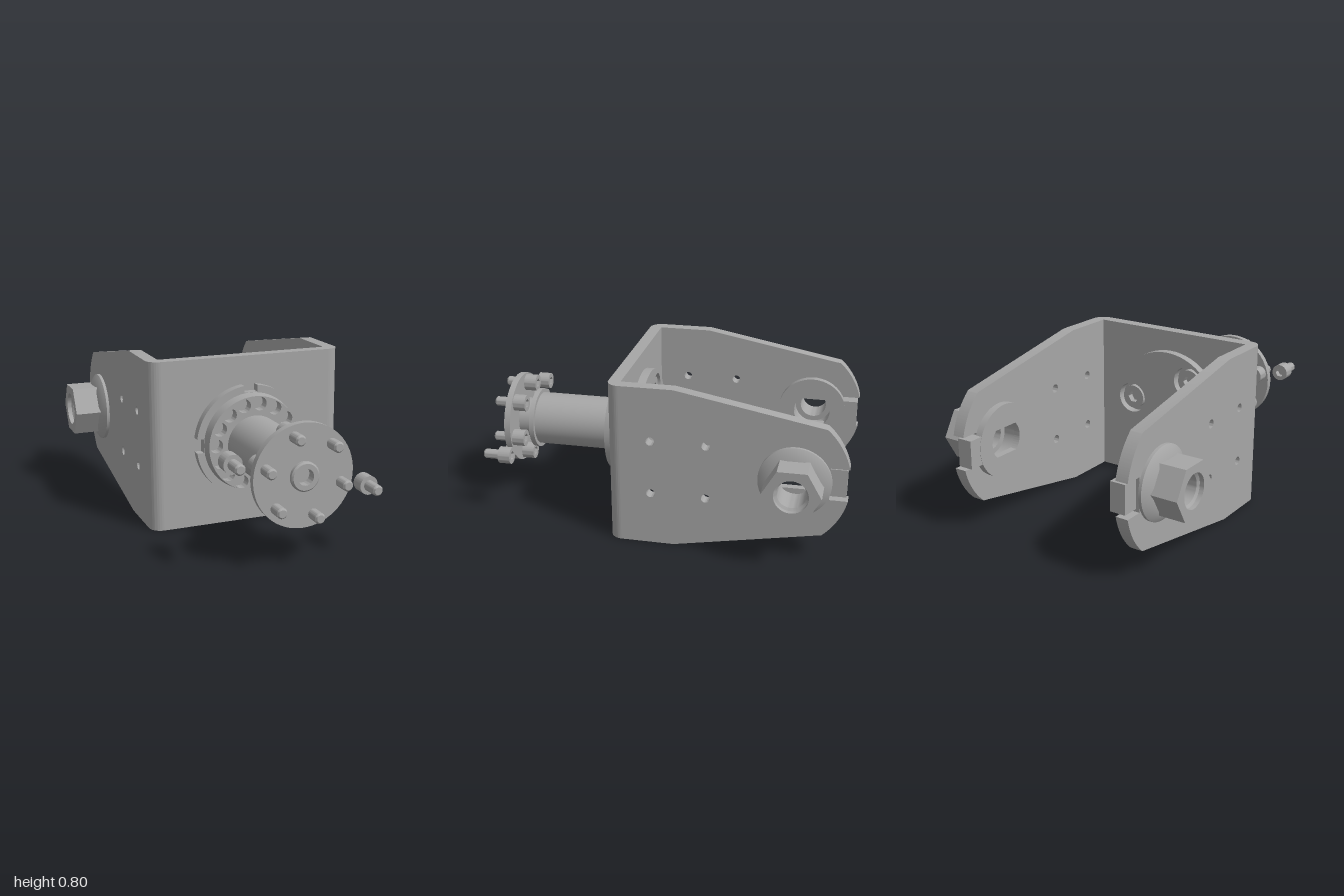
import * as THREE from 'three';
import { toCreasedNormals } from 'three/addons/utils/BufferGeometryUtils.js';

const steel = new THREE.MeshStandardMaterial({ color: 0xa6a6a6 });
steel.name = 'grey steel';

const mesh = (name, geo, parent) => {
  const m = new THREE.Mesh(toCreasedNormals(geo, 0.6), steel);
  m.name = name;
  parent.add(m);
  return m;
};
const group = (name, parent) => {
  const g = new THREE.Group();
  g.name = name;
  parent.add(g);
  return g;
};

const circle = (x, y, r) => new THREE.Path().absarc(x, y, r, 0, Math.PI * 2, false);
const disc = (r) => new THREE.Shape().absarc(0, 0, r, 0, Math.PI * 2, false);
const hexPoints = (r) => Array.from({ length: 6 }, (_, i) =>
  new THREE.Vector2(r * Math.cos(i * Math.PI / 3), r * Math.sin(i * Math.PI / 3)));

// Extrudes a shape from z0 to z1, with holes
function slab(shape, z0, z1, holes = []) {
  shape.holes.push(...holes);
  return new THREE.ExtrudeGeometry(shape, { depth: z1 - z0, bevelEnabled: false, curveSegments: 32 })
    .translate(0, 0, z0);
}
// Revolves a [radius, z] profile around the z axis
const turned = (pts) =>
  new THREE.LatheGeometry(pts.map(([r, z]) => new THREE.Vector2(r, z)), 56).rotateX(Math.PI / 2);
// Turns a geometry built along z so that it runs along x
const alongX = (geo) => geo.rotateY(Math.PI / 2);

const CX = -0.107, CY = 0.4;      // middle of the bracket
const OUT = 0.477, IN = 0.417;    // outer and inner face of an arm
const AXLE = 0.61;                // distance of the nut behind the origin

// Socket head screw pointing to +z, head starting at z0
function screw(name, parent, x, y, z0, z1) {
  const g = group(name, parent);
  g.position.set(x, y, 0);
  mesh('screwHead', slab(disc(0.042), z0, z0 + 0.062, [new THREE.Path(hexPoints(0.023))]), g);
  mesh('screwShank', turned([[0, z0 + 0.03], [0.024, z0 + 0.03], [0.024, z1 - 0.008], [0.017, z1], [0, z1]]), g);
}

// One arm with its nut, washer and locking tab
function arm(parent) {
  const s = new THREE.Shape();
  s.moveTo(-0.22, -0.4);
  s.lineTo(0.04, -0.4);
  s.lineTo(0.747, -0.267);
  const R = 0.361, c = 0.504, a0 = Math.atan2(0.267, 0.243), a1 = Math.asin(0.08 / R);
  s.absarc(c, 0, R, -a0, -a1, false);
  s.lineTo(0.77, -0.08);
  s.lineTo(0.77, 0.08);
  s.absarc(c, 0, R, a1, a0, false);
  s.lineTo(0.04, 0.4);
  s.lineTo(-0.22, 0.4);
  const holes = [circle(AXLE, 0, 0.095)];
  for (const x of [-0.071, 0.194]) for (const y of [-0.135, 0.135]) holes.push(circle(x, y, 0.021));
  mesh('armPlate', alongX(slab(s, IN, OUT, holes)), parent);

  // Washer with a flat-sided hole on the inner face
  const dd = new THREE.Path();
  const f = Math.asin(0.067 / 0.095);
  dd.absarc(0, 0, 0.095, -f, f, false);
  dd.absarc(0, 0, 0.095, Math.PI - f, Math.PI + f, false);
  dd.closePath();
  const hw = group('armHardware', parent);
  hw.position.z = -AXLE;
  mesh('washer', alongX(slab(disc(0.178), IN - 0.035, IN, [dd])), hw);
  mesh('lockingTab', new THREE.BoxGeometry(0.075, 0.136, 0.085).translate(IN + 0.004, 0, -0.195), hw);

  // Flanged hex nut
  mesh('nutFlange', alongX(turned([[0.068, OUT], [0.171, OUT], [0.171, OUT + 0.014], [0.125, OUT + 0.045],
    [0.068, OUT + 0.045], [0.068, OUT]])), hw);
  mesh('hexNut', alongX(slab(new THREE.Shape(hexPoints(0.137)), OUT + 0.02, OUT + 0.165, [circle(0, 0, 0.08)])), hw);
  mesh('nutThread', alongX(turned([[0.068, OUT + 0.03], [0.082, OUT + 0.03], [0.082, OUT + 0.145],
    [0.068, OUT + 0.135], [0.068, OUT + 0.03]])), hw);
}

export function createModel() {
  const root = new THREE.Group();
  root.name = 'forkBracketAssembly';
  const body = group('body', root);
  body.position.set(CX, CY, 0);
  const turn = group('turnedAssembly', root);
  turn.rotation.y = -17 * Math.PI / 180;
  turn.add(body);

  // Base of the fork with rounded corners
  const base = new THREE.Shape();
  base.moveTo(-OUT, -0.22);
  base.absarc(-IN, -0.22, 0.06, Math.PI, Math.PI * 1.5, false);
  base.absarc(IN, -0.22, 0.06, Math.PI * 1.5, Math.PI * 2, false);
  base.closePath();
  mesh('forkBase', slab(base, -0.4, 0.4).rotateX(-Math.PI / 2), body);

  // Two arms, the second turned half round
  for (const side of ['left', 'right']) {
    const g = group(side + 'Arm', body);
    if (side === 'right') g.rotation.z = Math.PI;
    arm(g);
  }

  // Backing plate with three recessed screws
  const spots = [7, 127, 247].map((d) => {
    const a = d * Math.PI / 180;
    return [0.207 * Math.cos(a), 0.207 * Math.sin(a)];
  });
  mesh('backingPlate', slab(disc(0.3), 0.178, 0.22, spots.map(([x, y]) => circle(x, y, 0.078))), body);
  for (const [x, y] of spots) {
    mesh('plateScrew', slab(disc(0.06), 0.188, 0.221, [new THREE.Path(hexPoints(0.03))]), body).position.set(x, y, 0);
  }

  // Notched ring on the front
  const ring = new THREE.Shape();
  const r = 0.268, half = 0.033, d = Math.asin(half / r);
  for (let i = 0; i < 4; i++) {
    const q = i * Math.PI / 2;
    ring.absarc(0, 0, r, q + d, q + Math.PI / 2 - d, false);
    const e = q + Math.PI / 2, c = Math.cos(e), s = Math.sin(e), k = r - 0.034;
    ring.lineTo(c * k + s * half, s * k - c * half);
    ring.lineTo(c * k - s * half, s * k + c * half);
  }
  ring.closePath();
  mesh('notchedRing', slab(ring, 0.279, 0.32), body);

  // Tapered crown with fifteen pockets
  const pockets = [circle(0, 0, 0.13)];
  for (let i = 0; i < 15; i++) {
    const a = (10 + 24 * i) * Math.PI / 180;
    pockets.push(circle(0.19 * Math.cos(a), 0.19 * Math.sin(a), 0.032));
  }
  const crown = slab(disc(0.234), 0.315, 0.368, pockets);
  const p = crown.attributes.position;
  for (let i = 0; i < p.count; i++) {
    const x = p.getX(i), y = p.getY(i);
    if (p.getZ(i) > 0.34 && Math.hypot(x, y) > 0.23) p.setXY(i, x * 0.962, y * 0.962);
  }
  crown.computeVertexNormals();
  mesh('pocketCrown', crown, body);

  // Shaft with its collar and neck
  mesh('shaft', turned([[0, 0.28], [0.134, 0.28], [0.134, 0.765], [0.153, 0.765], [0.153, 0.79],
    [0.1, 0.79], [0.1, 0.87], [0, 0.87]]), body);

  // End flange with bored boss and six screws
  mesh('endFlange', slab(disc(0.23), 0.862, 0.893, [circle(0, 0, 0.036)]), body);
  mesh('boss', turned([[0.036, 0.87], [0.065, 0.87], [0.065, 0.908], [0.058, 0.915], [0.036, 0.915], [0.036, 0.87]]), body);
  for (let i = 0; i < 6; i++) {
    const a = (45 + 60 * i) * Math.PI / 180;
    screw('flangeScrew', body, 0.18 * Math.cos(a), 0.18 * Math.sin(a), 0.8, 0.965);
  }

  // Two loose screws beside the flange
  for (const deg of [165, -15]) {
    const a = deg * Math.PI / 180;
    screw('looseScrew', body, 0.326 * Math.cos(a), 0.326 * Math.sin(a), 0.825, 0.97);
  }
  return root;
}
